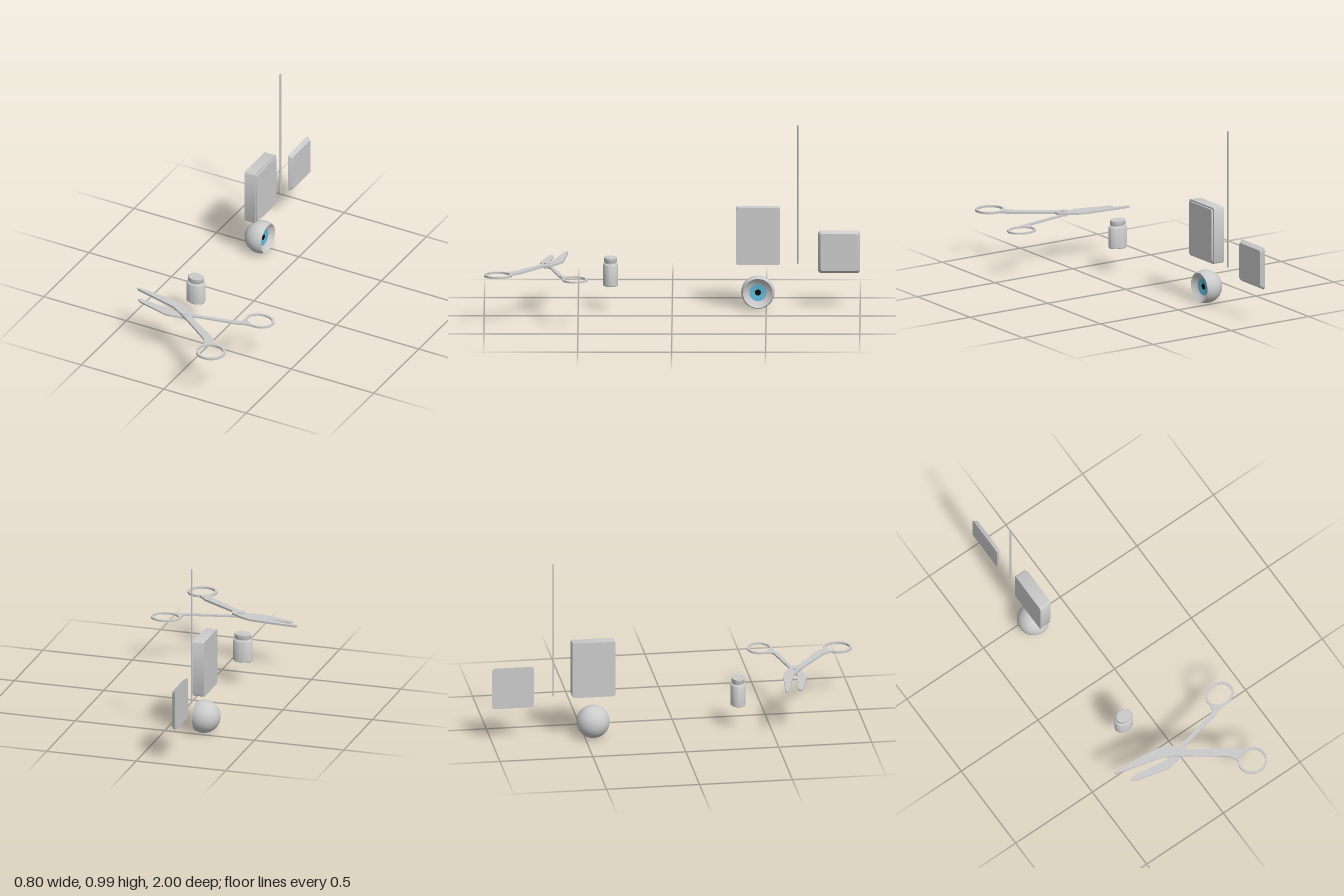
import * as THREE from 'three';
import { toCreasedNormals } from 'three/addons/utils/BufferGeometryUtils.js';

const grey = new THREE.MeshStandardMaterial({ color: 0xcccccc });
const blue = new THREE.MeshStandardMaterial({ color: 0x62b8d6 });
const black = new THREE.MeshStandardMaterial({ color: 0x0a0a0a });

function add(parent, name, geometry, material = grey) {
  const mesh = new THREE.Mesh(geometry, material);
  mesh.name = name;
  parent.add(mesh);
  return mesh;
}

// Rounded slab standing in the y-z plane; the +x face may be inset to taper the sides
function slab(x0, x1, y0, y1, z0, z1, r, inset = 0) {
  const w = (z1 - z0) / 2, h = (y1 - y0) / 2;
  const s = new THREE.Shape();
  s.absarc(w - r, h - r, r, 0, Math.PI / 2);
  s.absarc(-w + r, h - r, r, Math.PI / 2, Math.PI);
  s.absarc(-w + r, -h + r, r, Math.PI, Math.PI * 1.5);
  s.absarc(w - r, -h + r, r, Math.PI * 1.5, Math.PI * 2);
  const g = new THREE.ExtrudeGeometry(s, { depth: x1 - x0, bevelEnabled: false, curveSegments: 6 });
  const p = g.attributes.position;
  for (let i = 0; i < p.count; i++) {
    if (p.getZ(i) > (x1 - x0) / 2) {
      p.setXY(i, p.getX(i) * (1 - inset / w), p.getY(i) * (1 - inset / h));
    }
  }
  g.rotateY(Math.PI / 2).translate(x0, (y0 + y1) / 2, (z0 + z1) / 2);
  return toCreasedNormals(g, 0.6);
}

// Flat plate lying in the x-z plane between two heights
function flatPlate(shape, bottom, top) {
  const g = new THREE.ExtrudeGeometry(shape, { depth: top - bottom, bevelEnabled: false, curveSegments: 24 });
  g.rotateX(Math.PI / 2).translate(0, top, 0);
  return toCreasedNormals(g, 0.6);
}

const lathe = (points, segments = 48) =>
  new THREE.LatheGeometry(points.map(([r, y]) => new THREE.Vector2(r, y)), segments);

// One scissor half: blade with shank, and an oval finger ring
function scissorHalf(name, outline, ring, bottom, top) {
  const half = new THREE.Group();
  half.name = name;
  const blade = new THREE.Shape(outline.map(([x, z]) => new THREE.Vector2(x, z)));
  add(half, 'bladeAndShank', flatPlate(blade, bottom, top));
  const [cx, cz, rx, rz, wall] = ring;
  const loop = new THREE.Shape();
  loop.absellipse(cx, cz, rx, rz, 0, Math.PI * 2);
  const hole = new THREE.Path();
  hole.absellipse(cx, cz, rx - wall, rz - wall, 0, Math.PI * 2, true);
  loop.holes.push(hole);
  add(half, 'fingerRing', flatPlate(loop, bottom, top));
  return half;
}

export function createModel() {
  const model = new THREE.Group();

  // Scissors
  const scissors = new THREE.Group();
  scissors.name = 'scissors';
  scissors.add(scissorHalf('upperHalf', [
    [-0.402, 0.557], [-0.37, 0.556], [-0.25, 0.566], [-0.13, 0.579], [-0.09, 0.594], [-0.008, 0.648],
    [-0.003, 0.68], [0.19, 0.804], [0.22, 0.838], [0.235, 0.853], [0.2, 0.864], [0.178, 0.888],
    [0.172, 0.862], [0.15, 0.833], [-0.03, 0.702], [-0.05, 0.69], [-0.14, 0.633], [-0.39, 0.57],
  ], [0.244, 0.926, 0.08, 0.075, 0.013], 0.265, 0.276));
  scissors.add(scissorHalf('lowerHalf', [
    [-0.352, 0.642], [-0.34, 0.632], [-0.31, 0.631], [-0.13, 0.655], [-0.02, 0.632], [0.21, 0.582],
    [0.234, 0.57], [0.24, 0.53], [0.262, 0.566], [0.302, 0.582], [0.262, 0.588], [0.23, 0.602], [0, 0.648],
    [-0.07, 0.69], [-0.15, 0.704], [-0.33, 0.658],
  ], [0.318, 0.516, 0.081, 0.067, 0.013], 0.256, 0.265));
  const pivot = add(scissors, 'pivotScrew', new THREE.CylinderGeometry(0.02, 0.02, 0.029, 24));
  pivot.position.set(-0.055, 0.266, 0.664);
  model.add(scissors);

  // Oval jar with a cap
  const jar = new THREE.Group();
  jar.name = 'jar';
  add(jar, 'jarBody', toCreasedNormals(lathe([
    [0, 0], [0.05, 0], [0.053, 0.003], [0.053, 0.113], [0.051, 0.117], [0.046, 0.12], [0.039, 0.121], [0.039, 0.13],
  ]), 0.6));
  add(jar, 'jarCap', toCreasedNormals(lathe([
    [0, 0.127], [0.044, 0.127], [0.045, 0.129], [0.045, 0.151], [0.043, 0.153], [0, 0.153],
  ]), 0.6));
  jar.scale.z = 0.76;
  jar.position.set(-0.172, 0.135, 0.328);
  model.add(jar);

  // Eyeball facing +x, with a hollow front around the iris
  const eye = new THREE.Group();
  eye.name = 'eye';
  const R = 0.089, cut = 0.041, rim = Math.sqrt(R * R - cut * cut);
  const open = Math.asin(cut / R), shell = [];
  for (let i = 0; i <= 28; i++) {
    const a = -Math.PI / 2 + (open + Math.PI / 2) * i / 28;
    shell.push([R * Math.cos(a), R * Math.sin(a)]);
  }
  add(eye, 'eyeball', lathe(shell));
  add(eye, 'eyeSocketBowl', lathe([[rim, cut], [0.069, 0.032], [0.058, 0.024], [0.046, 0.018]]));
  add(eye, 'iris', lathe([[0.046, 0.018], [0.016, 0.014]]), blue);
  add(eye, 'pupil', lathe([[0.016, 0.014], [0, 0.014]]), black);
  eye.rotation.z = -Math.PI / 2;
  eye.position.set(-0.205, 0.092, -0.456);
  model.add(eye);

  // Thick case with a raised cover plate
  const box = new THREE.Group();
  box.name = 'case';
  add(box, 'caseBody', slab(-0.243, -0.18, 0.243, 0.552, -0.573, -0.34, 0.012));
  add(box, 'caseCover', slab(-0.18, -0.171, 0.252, 0.543, -0.564, -0.349, 0.012));
  model.add(box);

  // Thin rod
  const rod = add(model, 'rod', new THREE.CylinderGeometry(0.005, 0.005, 0.75, 16));
  rod.position.set(-0.205, 0.621, -0.67);

  // Thin panel with tapered edges
  add(model, 'panel', slab(-0.217, -0.195, 0.194, 0.424, -1, -0.776, 0.014, 0.014));

  return model;
}
